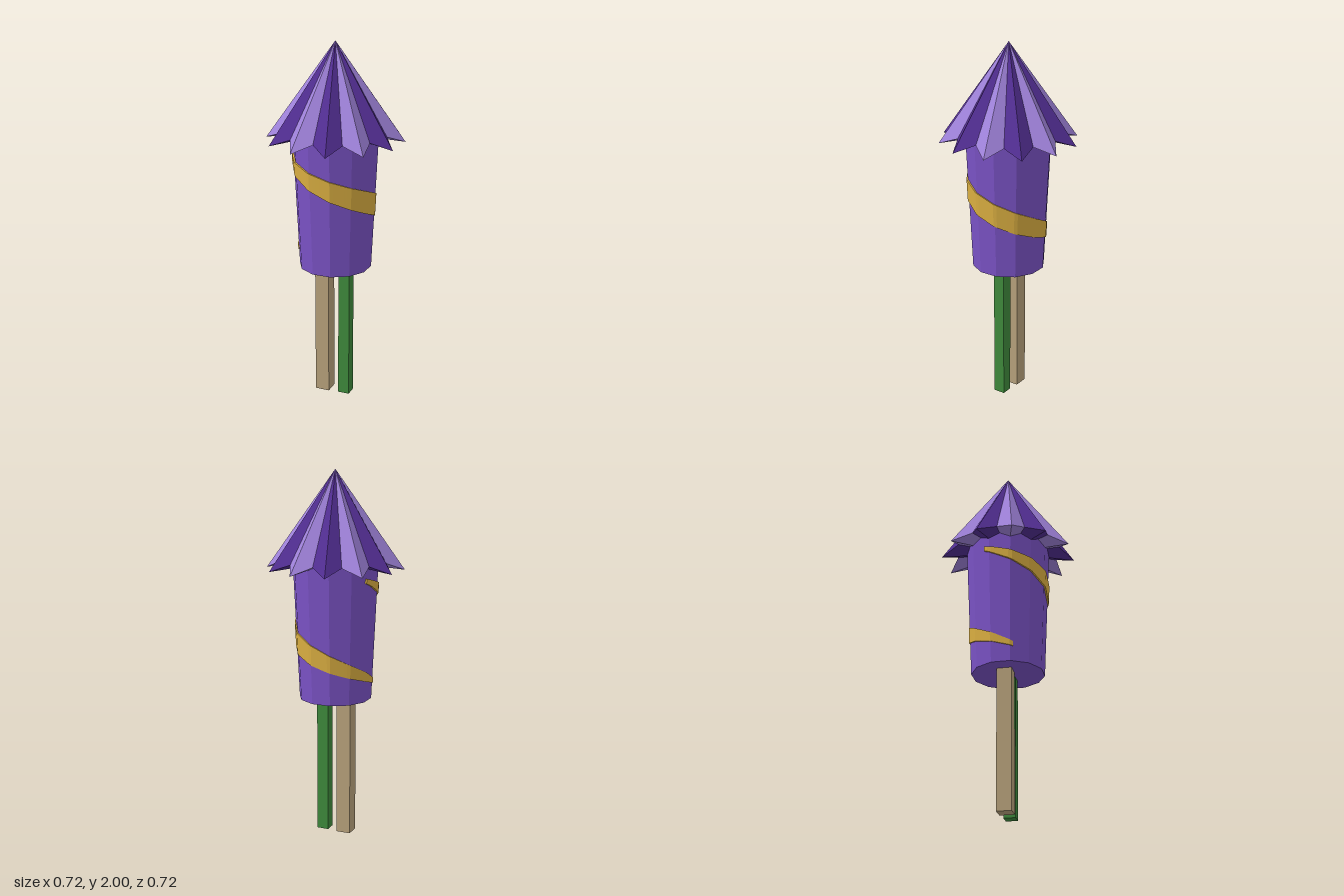
import * as THREE from 'three';

const SIDES = 12;
const STEP = (Math.PI * 2) / SIDES;
const DEG = Math.PI / 180;

const BODY = { bottom: 0.77, top: 1.52, rBottom: 0.197, rTop: 0.231 };

function material(name, color) {
  const m = new THREE.MeshStandardMaterial({ color, flatShading: true });
  m.name = name;
  return m;
}

function mesh(name, geometry, mat) {
  const m = new THREE.Mesh(geometry, mat);
  m.name = name;
  return m;
}

// Angle 0 faces +z and grows towards +x
const polar = (r, y, a) => [r * Math.sin(a), y, r * Math.cos(a)];

function fromPositions(positions) {
  const g = new THREE.BufferGeometry();
  g.setAttribute('position', new THREE.Float32BufferAttribute(positions, 3));
  g.computeVertexNormals();
  return g;
}

// Distance from the axis to the faceted body wall
function wallRadius(y, a) {
  const t = (y - BODY.bottom) / (BODY.top - BODY.bottom);
  const r = BODY.rBottom + (BODY.rTop - BODY.rBottom) * t;
  const offFace = a - Math.round(a / STEP) * STEP;
  return (r * Math.cos(STEP / 2)) / Math.cos(offFace);
}

// Every second point of the pleated star cap, closed underneath
function capPoints(first) {
  const apex = [0, 2, 0];
  const centre = [0, 1.515, 0];
  const p = [];
  for (let k = first; k < SIDES; k += 2) {
    const a = polar(0.29, 1.52, k * STEP);
    const tip = polar(0.371, 1.478, (k + 0.5) * STEP);
    const b = polar(0.29, 1.52, (k + 1) * STEP);
    p.push(...apex, ...a, ...tip, ...apex, ...tip, ...b);
    p.push(...centre, ...tip, ...a, ...centre, ...b, ...tip);
  }
  return fromPositions(p);
}

// Tapering band that winds down around the body
function ribbon() {
  const start = -112, end = 289, count = 82;
  const rings = [];
  for (let i = 0; i <= count; i++) {
    const t = i / count;
    const deg = start + (end - start) * t;
    const a = deg * DEG;
    const y = 1.275 - 0.00142 * deg;
    const half = 0.013 + 0.05 * Math.sin(Math.PI * t);
    const out = 0.006 + 0.005 * (1 - t) ** 2;
    const corner = (dy, d) => polar(wallRadius(y + dy, a) + d, y + dy, a);
    rings.push([corner(half, out), corner(-half, out), corner(-half, -0.006), corner(half, -0.006)]);
  }
  const p = [];
  const quad = (a, b, c, d) => p.push(...a, ...b, ...c, ...a, ...c, ...d);
  for (let i = 0; i < count; i++) {
    const r = rings[i], s = rings[i + 1];
    for (let j = 0; j < 4; j++) {
      const n = (j + 1) % 4;
      quad(r[j], r[n], s[n], s[j]);
    }
  }
  const r = rings[0], s = rings[count];
  quad(r[3], r[2], r[1], r[0]);
  quad(s[0], s[1], s[2], s[3]);
  return fromPositions(p);
}

function stick(name, x, width, mat) {
  const height = BODY.bottom + 0.01;
  const m = mesh(name, new THREE.BoxGeometry(width, height, width), mat);
  m.position.set(x, height / 2, 0);
  return m;
}

export function createModel() {
  const purple = material('purple', 0x7b53c6);
  const darkPurple = material('dark purple', 0x522e92);
  const lightPurple = material('light purple', 0x9f82da);
  const gold = material('gold', 0xdcb042);
  const wood = material('wood', 0xb8a27c);
  const green = material('green', 0x3f8a3c);

  const model = new THREE.Group();
  model.name = 'fireworkRocket';

  // Twelve-sided body, slightly wider at the top
  const height = BODY.top - BODY.bottom;
  const body = mesh('body',
    new THREE.CylinderGeometry(BODY.rTop, BODY.rBottom, height, SIDES, 1, false, STEP / 2), purple);
  body.position.y = BODY.bottom + height / 2;
  model.add(body, mesh('spiralRibbon', ribbon(), gold));

  // Star cap in two alternating colours
  const cap = new THREE.Group();
  cap.name = 'cap';
  cap.add(mesh('darkCapPoints', capPoints(0), darkPurple));
  cap.add(mesh('lightCapPoints', capPoints(1), lightPurple));
  model.add(cap);

  // Guide stick and fuse
  model.add(stick('guideStick', -0.064, 0.08, wood), stick('fuse', 0.063, 0.064, green));
  return model;
}
